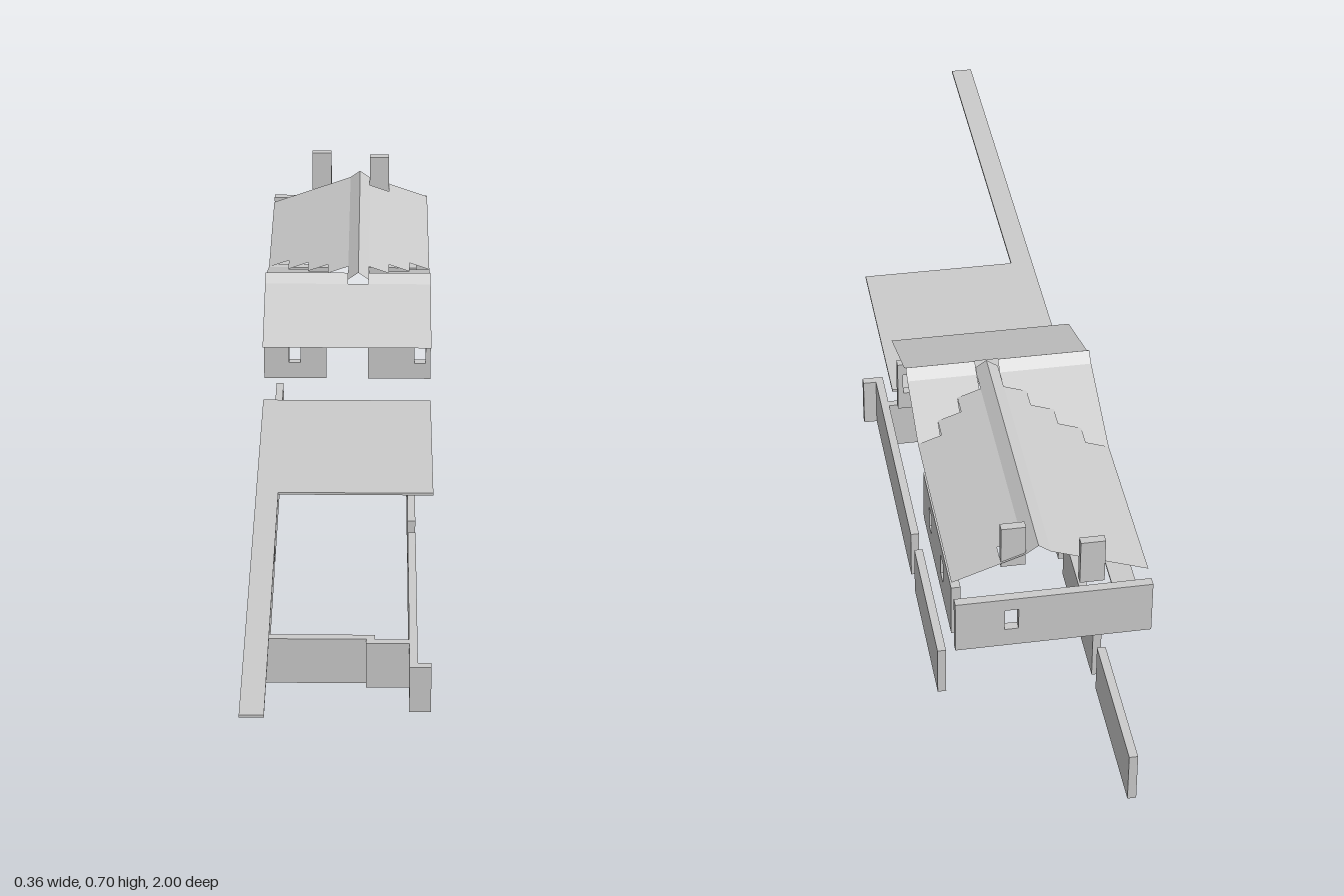
import * as THREE from 'three';

const grey = new THREE.MeshStandardMaterial({ color: 0xcccccc, flatShading: true, side: THREE.DoubleSide });
const U = 0.0444; // plan module
const W = 4 * U;  // half width
const T = 0.017;  // wall thickness

export function createModel() {
  const model = new THREE.Group();

  const section = (name) => {
    const g = new THREE.Group();
    g.name = name;
    model.add(g);
    return g;
  };
  const add = (parent, name, geo) => {
    const m = new THREE.Mesh(geo, grey);
    m.name = name;
    parent.add(m);
  };
  const box = (parent, name, x0, x1, y0, y1, z0, z1) => {
    const geo = new THREE.BoxGeometry(x1 - x0, y1 - y0, z1 - z0);
    geo.translate((x0 + x1) / 2, (y0 + y1) / 2, (z0 + z1) / 2);
    add(parent, name, geo);
  };
  // upright panel with window openings; a0..a1 runs along x, or along -z when side is true
  const panel = (parent, name, a0, a1, back, windows, side = false) => {
    const rect = (P, l, r, b, t) => {
      const p = new P();
      p.moveTo(l, b);
      p.lineTo(r, b);
      p.lineTo(r, t);
      p.lineTo(l, t);
      p.closePath();
      return p;
    };
    const shape = rect(THREE.Shape, a0, a1, 0.472, 0.578);
    for (const [l, r] of windows) shape.holes.push(rect(THREE.Path, l, r, 0.509, 0.553));
    const geo = new THREE.ExtrudeGeometry(shape, { depth: T, bevelEnabled: false });
    if (side) geo.rotateY(Math.PI / 2).translate(back, 0, 0);
    else geo.translate(0, 0, back);
    add(parent, name, geo);
  };
  // thin roof sheet over a plan rectangle, its height given by h(x, z)
  const sheet = (parent, name, x0, x1, z0, z1, h) => {
    const geo = new THREE.PlaneGeometry(x1 - x0, z1 - z0).rotateX(-Math.PI / 2);
    geo.translate((x0 + x1) / 2, 0, (z0 + z1) / 2);
    const p = geo.attributes.position;
    for (let i = 0; i < p.count; i++) p.setY(i, h(p.getX(i), p.getZ(i)));
    geo.computeVertexNormals();
    add(parent, name, geo);
  };

  // lower storey walls
  const lower = section('lowerWalls');
  const H = 0.108;
  for (const [z0, z1] of [[-0.95, -0.64], [-0.6, -0.29], [-0.24, 0.2]])
    box(lower, 'leftRowWall', -W, -W + T, 0, H, z0, z1);
  for (const [z0, z1] of [[-0.6, -0.29], [-0.24, 0.305]])
    box(lower, 'rightRowWall', 0.133, 0.15, 0, H, z0, z1);
  box(lower, 'frontWall', -W + T, 0.062, 0, H, 0.182, 0.199);
  box(lower, 'entryWall', U, 0.133, 0, H, 0.199, 0.215);
  box(lower, 'returnWall', 0.15, W, 0, H, 0.288, 0.305);

  // terrace slab with its long walkway
  const terrace = section('terrace');
  box(terrace, 'terraceFloor', -W, W, 0.45, 0.455, -0.2, 0.2);
  box(terrace, 'walkway', -W, -3 * U, 0.45, 0.455, 0.2, 1);

  // upper storey walls
  const upper = section('upperWalls');
  panel(upper, 'frontPanelLeft', -W, -U, -0.285, [[-0.124, -0.1]]);
  panel(upper, 'frontPanelRight', U, W, -0.285, [[0.143, 0.167]]);
  panel(upper, 'innerPanelLeft', -W, -U, -0.617, []);
  panel(upper, 'innerPanelRight', U, 0.15, -0.617, []);
  box(upper, 'cornerPost', 0.133, 0.15, 0.472, 0.578, -0.64, -0.617);
  box(upper, 'cornerReturn', 0.15, W, 0.472, 0.578, -0.64, -0.623);
  panel(upper, 'sideWall', 0.64, 0.953, W - T, [[0.695, 0.722], [0.83, 0.857]], true);
  panel(upper, 'backWall', -W, W, -1, [[0.064, 0.089]]);

  // loose floor pieces
  const floor = section('floorPieces');
  box(floor, 'floorStrip', -W, 2 * U, 0.467, 0.471, -0.468, -0.423);
  box(floor, 'floorArm', U, 2 * U, 0.467, 0.471, -0.555, -0.468);
  box(floor, 'rearFloorPiece', -W, -3 * U, 0.467, 0.471, -0.91, -0.685);

  // cross roof: shallow slopes below a steeper ridge cap
  const roof = section('roof');
  const EAVE = 0.578, CAP = 0.642, TOP = 0.658;
  const ZR = -0.402, CZ = 0.022, END = -0.957;
  const slope = (CAP - EAVE) / W;
  const crossH = (x, z) => CAP - slope * (Math.abs(z - ZR) - CZ);
  const crossCapH = (x, z) => TOP - (TOP - CAP) * Math.abs(z - ZR) / CZ;
  const mainH = (x) => CAP - slope * (Math.abs(x - U / 2) - U / 2);
  const mainCapH = (x) => TOP - (TOP - CAP) * Math.abs(x - U / 2) / (U / 2);

  sheet(roof, 'frontSlope', -W, W, ZR + CZ, -0.202, crossH);
  for (const [x0, x1] of [[-W, 0], [U, W]]) {
    sheet(roof, 'ridgeCapFront', x0, x1, ZR, ZR + CZ, crossCapH);
    sheet(roof, 'ridgeCapBack', x0, x1, ZR - CZ, ZR, crossCapH);
  }
  sheet(roof, 'mainRidgeCapLeft', 0, U / 2, END, ZR, mainCapH);
  sheet(roof, 'mainRidgeCapRight', U / 2, U, END, ZR, mainCapH);

  // stepped valley between the cross roof and the main roof
  const column = (x0, step) => {
    const z = ZR - CZ - step * U;
    sheet(roof, 'backSlopeStep', x0, x0 + U, z, ZR - CZ, crossH);
    if (x0 === U) { // opening for the chimney
      sheet(roof, 'mainSlopeStrip', x0, x0 + U, -0.912, z, mainH);
      sheet(roof, 'mainSlopeEnd', x0, x0 + U, END, -0.943, mainH);
    } else sheet(roof, 'mainSlopeStrip', x0, x0 + U, END, z, mainH);
  };
  for (let i = 1; i <= 4; i++) column(-i * U, i);
  for (let i = 1; i <= 3; i++) column(i * U, i);

  // chimneys
  const chimneys = section('chimneys');
  box(chimneys, 'roofChimney', U, 2 * U, 0.615, 0.7, -0.953, -0.937);
  box(chimneys, 'backChimney', -2 * U, -U, 0.6, 0.69, -1, -0.984);

  return model;
}
